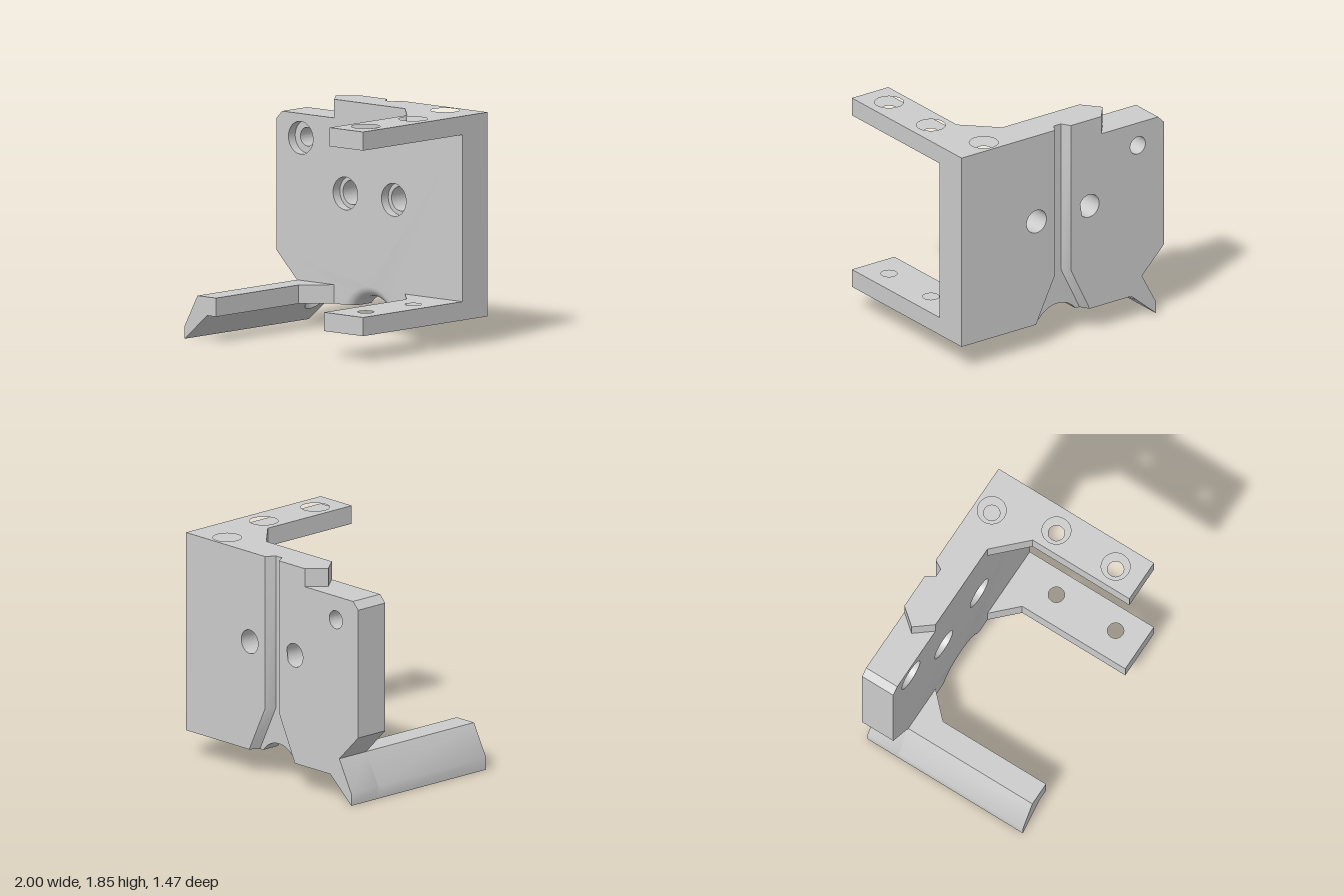
import * as THREE from 'three';
import { toCreasedNormals } from 'three/addons/utils/BufferGeometryUtils.js';

const BACK = -0.735, FLOOR = -0.66, STEP = -0.52, FACE = -0.44, FRONT = 0.735;
const BASE = 0.22, LEDGE = 0.37, SHOULDER = 1.71, TOP = 1.86;
const HEAD = 0.115, SHANK = 0.065, SINK = 0.06;   // screw holes
const HOOK_X = -0.675, SCREW_Z = -0.59;

const material = new THREE.MeshStandardMaterial({ color: 0xcccccc });

function extrude(points, depth, holes = [], steps = 1) {
  const shape = new THREE.Shape(points.map(([x, y]) => new THREE.Vector2(x, y)));
  for (const [x, y, r] of holes) {
    shape.holes.push(new THREE.Path().absarc(x, y, r, 0, Math.PI * 2, true));
  }
  return new THREE.ExtrudeGeometry(shape, { depth, steps, curveSegments: 32, bevelEnabled: false });
}

// Move every vertex by a rule
function reshape(geometry, rule) {
  const p = geometry.attributes.position, v = new THREE.Vector3();
  for (let i = 0; i < p.count; i++) {
    v.fromBufferAttribute(p, i);
    rule(v);
    p.setXYZ(i, v.x, v.y, v.z);
  }
  return geometry;
}

// Outline in (x, y), extruded from z0 to z1
const upright = (points, z0, z1, holes, steps) =>
  extrude(points, z1 - z0, holes, steps).translate(0, 0, z0);

// Outline in (x, z), extruded from y0 to y1
const slab = (points, y0, y1, holes = []) =>
  extrude(points.map(([x, z]) => [x, -z]), y1 - y0, holes.map(([x, z, r]) => [x, -z, r]))
    .rotateX(-Math.PI / 2).translate(0, y0, 0);

// Arch under the plate: points on a circle of radius r, cut off at the base
const ARCH_Y = 0.085, ARCH_R = 0.225, FILLET = STEP - FACE;
const archHalf = r => Math.acos((BASE - ARCH_Y) / r);
const archPoint = (r, u) => [r * Math.sin(u * archHalf(r)), ARCH_Y + r * Math.cos(u * archHalf(r))];
const arch = r => Array.from({ length: 33 }, (_, i) => archPoint(r, -1 + i / 16));

export function createModel() {
  const model = new THREE.Group();
  const add = (name, ...geometries) => {
    const part = new THREE.Group();
    part.name = name;
    for (const g of geometries) {
      const mesh = new THREE.Mesh(toCreasedNormals(g, 0.5), material);
      mesh.name = name;
      part.add(mesh);
    }
    model.add(part);
  };

  // Plate outline: left and right sides, joined by the arch
  const leftSide = [[-0.94, SHOULDER], [-1, 1.65], [-1, 0.59], [-0.78, LEDGE], [-0.3, LEDGE], [-0.3, BASE]];
  const rightSide = [[0.3, BASE], [0.3, LEDGE], [1, LEDGE], [1, SHOULDER]];
  const outline = r => [...leftSide, ...arch(r), ...rightSide];
  const leftHoles = [[-0.26, 1.115, 0.0975], [-0.74, 1.515, 0.075]];
  const rightHoles = [[0.26, 1.115, 0.0975]];
  const holes = [...leftHoles, ...rightHoles];

  add('plateCore', upright(outline(ARCH_R), FLOOR, STEP, holes));

  // Front layer: counterbores, and a rounded lip around the arch
  const outerR = ARCH_R + FACE - STEP;
  const frontLayer = upright(outline(outerR), STEP, FACE, holes.map(([x, y]) => [x, y, 0.132]), 10);
  add('plateFront', reshape(frontLayer, v => {
    const angle = (v.z - STEP) / (FACE - STEP) * Math.PI / 2;
    v.z = STEP + (FACE - STEP) * Math.sin(angle);
    if (Math.abs(v.x) < 0.29 && v.y < 0.4) {
      const u = Math.atan2(v.x, v.y - ARCH_Y) / archHalf(outerR);
      [v.x, v.y] = archPoint(ARCH_R - FILLET * (1 - Math.cos(angle)), u);
    }
  }));

  // Back layer: two halves with the flared groove between, its walls leaning outward
  const grooveEdge = s => [[s * 0.22, BASE], [s * 0.035, 0.6], [s * 0.035, SHOULDER]];
  const lean = v => {
    const edge = Math.abs(v.x) < 0.04 || (v.y < 0.23 && Math.abs(v.x) < 0.23);
    if (edge && v.z < FLOOR - 0.01) v.x += Math.sign(v.x) * 0.045;
  };
  add('plateBack',
    reshape(upright([...leftSide, ...grooveEdge(-1)], BACK, FLOOR, leftHoles), lean),
    reshape(upright([...rightSide, ...grooveEdge(1).reverse()], BACK, FLOOR, rightHoles), lean));

  // Top strip with pointed end and right arm
  const screws = r => [[0.675, SCREW_Z, r], [0.81, -0.065, r], [0.81, 0.495, r]];
  const topShape = [[-0.38, BACK], [-0.08, BACK], [-0.035, FLOOR], [0.035, FLOOR], [0.08, BACK], [1, BACK],
    [1, FRONT], [0.64, FRONT], [0.64, -0.18], [0.38, FACE], [-0.38, FACE], [-0.5, SCREW_Z]];
  add('topArm',
    slab(topShape, SHOULDER, TOP - SINK, screws(SHANK)),
    slab(topShape, TOP - SINK, TOP, screws(HEAD)));

  // Lower arm on the model's left, counterbored from below
  const lowShape = [[0.3, BACK], [1, BACK], [1, FRONT], [0.58, FRONT], [0.58, -0.24], [0.38, FACE], [0.3, FACE]];
  add('lowerArm',
    slab(lowShape, BASE, BASE + SINK, screws(HEAD)),
    slab(lowShape, BASE + SINK, LEDGE, screws(SHANK)));

  // Hooked arm in front of the plate
  add('hookArm',
    slab([[HOOK_X, FACE], [-0.38, FACE], [-0.58, -0.24], [-0.58, FRONT], [HOOK_X, FRONT]], BASE, LEDGE),
    upright([[-0.78, LEDGE], [-0.92, 0.11], [-0.92, 0.01], [HOOK_X, BASE], [HOOK_X, LEDGE]], FACE, FRONT));

  // Hook root under the plate, with a screw pocket cut through its slope
  const slope = x => BASE + (x - HOOK_X) * (BASE - 0.01) / (HOOK_X + 0.92);
  const pocketSide = (s, x) => {
    const arc = Array.from({ length: 17 }, (_, i) => {
      const a = Math.PI * i / 16;
      return [HOOK_X + s * HEAD * Math.sin(a), SCREW_Z + HEAD * Math.cos(a)];
    });
    return [[x, BACK], [x, FACE], [HOOK_X, FACE], ...arc, [HOOK_X, BACK]];
  };
  const mid = BASE + SINK;
  add('hookRoot',
    upright([[-0.78, LEDGE], [-0.92, 0.11], [-0.92, 0.01], [-0.8, slope(-0.8)], [-0.8, mid], [-0.78, mid]], BACK, FACE),
    slab([[-0.78, BACK], [-0.3, BACK], [-0.3, FACE], [-0.78, FACE]], mid, LEDGE, [[HOOK_X, SCREW_Z, SHANK]]),
    slab(pocketSide(1, -0.3), BASE, mid),
    reshape(slab(pocketSide(-1, -0.8), BASE, mid), v => { if (v.y < mid - 0.01) v.y = slope(v.x); }));

  return model;
}
